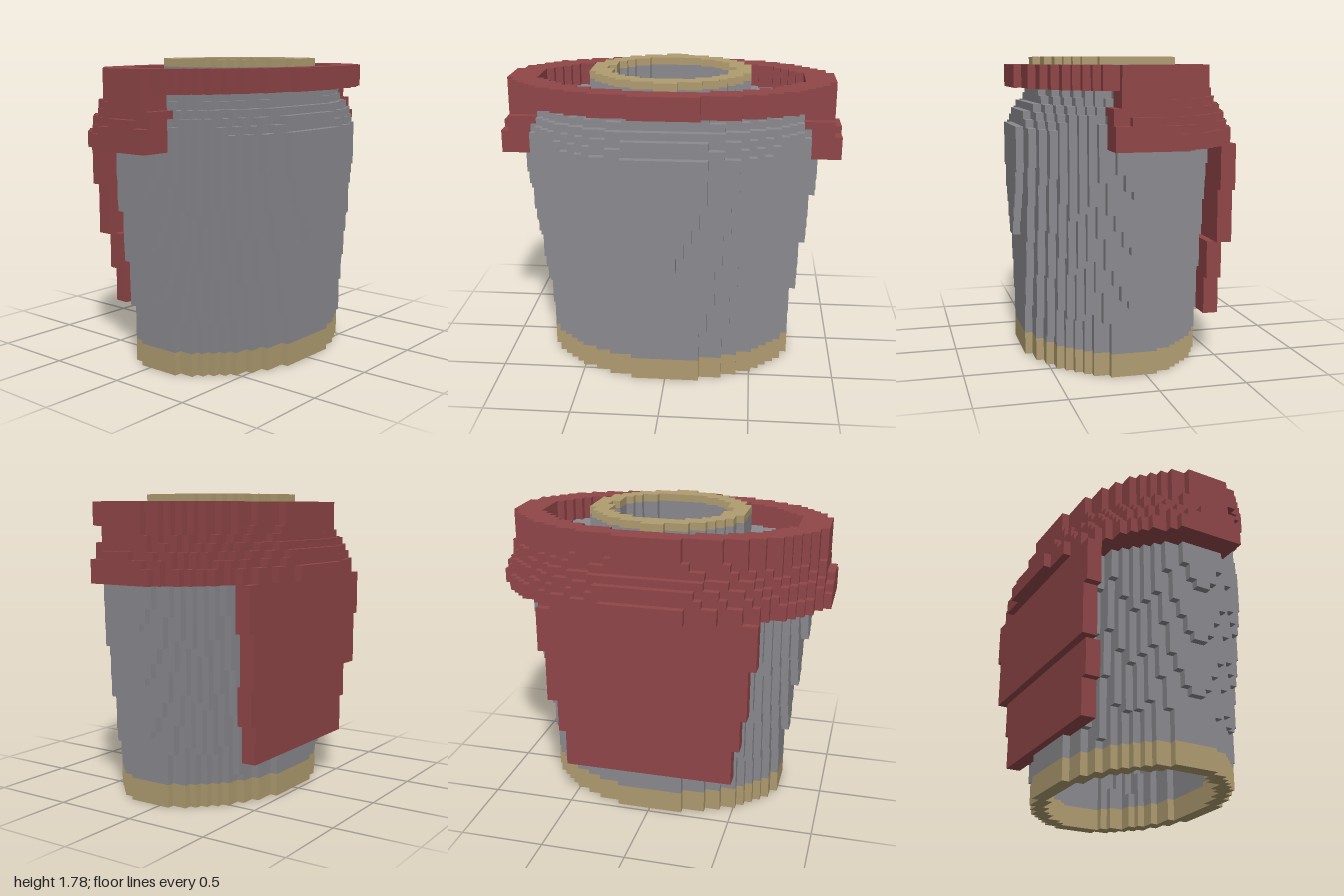
import * as THREE from 'three';

const U = 2 / 45; // block size
const NX = 22, NZ = 14, NY = 40; // cells run -NX..NX, 0..NY-1, -NZ..NZ

const material = (name, color) => Object.assign(new THREE.MeshStandardMaterial({ color }), { name });

// every layer is an ellipse around x = 0, z = 1.5 blocks
const inside = (x, z, a, b) => (x / a) ** 2 + ((z - 1.5) / b) ** 2 <= 1;

// radii of the rounded shoulders, from layer 31 upwards
const BODY_SHOULDER = [[19.5, 12.45], [19.2, 12.1], [18.6, 11.4], [18.1, 10.4], [18, 10]];
const COLLAR_SHOULDER = [[22.6, 15.45], [22.2, 15.1], [21.9, 14.4], [21.8, 13.4], [21.5, 13]];

function bodyRadii(y) {
  if (y >= 31) return BODY_SHOULDER[y - 31];
  const h = Math.max(y, 3); // the base band is straight
  return [
    THREE.MathUtils.clamp(17.03 + (h - 9) / 7, 16.5, 19.55),
    Math.min(12.52 + (h - 16) * 0.048, 13),
  ];
}

// which part fills a cell, or null
function partAt(x, y, z) {
  if (y < 0 || y >= NY || Math.abs(x) > NX || Math.abs(z) > NZ) return null;

  // neck with a light rim, its bore narrowing at the bottom, and the ring around it
  if (y >= 36) {
    if (inside(x, z, 8.1, 7.1)) return null;
    if (inside(x, z, 10.5, 9.6)) return y === 39 ? 'neckRim' : 'neck';
    const ring = y < 39 && inside(x, z, 21.5, 12.85) && !inside(x, z, 17.9, 10);
    return ring ? 'collarRing' : null;
  }
  if (y >= 34 && inside(x, z, 6.9, 7)) return null;

  // cape hanging down the back, narrowing downwards
  const back = y >= 16 ? -11 : -10;
  const half = y >= 23 ? 14 : y >= 16 ? 13 : y >= 11 ? 12 : 11;
  if (y >= 6 && y < 29 && Math.abs(x) <= half && (z === back || z === back - 1)) return 'cape';

  // hollow body, open below
  const [a, b] = bodyRadii(y);
  if (inside(x, z, a, b)) {
    if (y < 34 && inside(x, z, a - 2, b - 2)) return null;
    return y < 3 ? 'baseBand' : 'body';
  }

  // shoulder collar around the sides and back
  if (y >= 29 && z <= (y >= 34 ? 4 : 5)) {
    const [ca, cb] = y < 31 ? [22.95, 16] : COLLAR_SHOULDER[y - 31];
    if (inside(x, z, ca, cb)) return 'shoulderCollar';
  }
  return null;
}

// the six face directions, each with two edge directions (u x v = n)
const FACES = [];
for (let axis = 0; axis < 3; axis++) {
  for (const s of [1, -1]) {
    const n = [0, 0, 0], u = [0, 0, 0], v = [0, 0, 0];
    n[axis] = s;
    u[(axis + 1) % 3] = s;
    v[(axis + 2) % 3] = 1;
    FACES.push({ n, u, v });
  }
}

export function createModel() {
  const red = material('dark red', 0x904648);
  const grey = material('grey', 0x8a8a8f);
  const tan = material('tan', 0xaf9c70);
  const colours = {
    body: grey, neck: grey, baseBand: tan, neckRim: tan,
    collarRing: red, shoulderCollar: red, cape: red,
  };

  // collect the exposed block faces of each part
  const data = {};
  for (const name in colours) data[name] = { position: [], normal: [], index: [] };
  for (let y = 0; y < NY; y++) {
    for (let x = -NX; x <= NX; x++) {
      for (let z = -NZ; z <= NZ; z++) {
        const part = partAt(x, y, z);
        if (!part) continue;
        const { position, normal, index } = data[part];
        const c = [x, y + 0.5, z];
        for (const { n, u, v } of FACES) {
          if (partAt(x + n[0], y + n[1], z + n[2])) continue;
          const i = position.length / 3;
          for (const [p, q] of [[-1, -1], [1, -1], [1, 1], [-1, 1]]) {
            for (let k = 0; k < 3; k++) position.push((c[k] + (n[k] + p * u[k] + q * v[k]) / 2) * U);
            normal.push(...n);
          }
          index.push(i, i + 1, i + 2, i, i + 2, i + 3);
        }
      }
    }
  }

  const group = new THREE.Group();
  group.name = 'hollowTorso';
  for (const name in data) {
    const geometry = new THREE.BufferGeometry();
    geometry.setAttribute('position', new THREE.Float32BufferAttribute(data[name].position, 3));
    geometry.setAttribute('normal', new THREE.Float32BufferAttribute(data[name].normal, 3));
    geometry.setIndex(data[name].index);
    const mesh = new THREE.Mesh(geometry, colours[name]);
    mesh.name = name;
    group.add(mesh);
  }
  return group;
}
